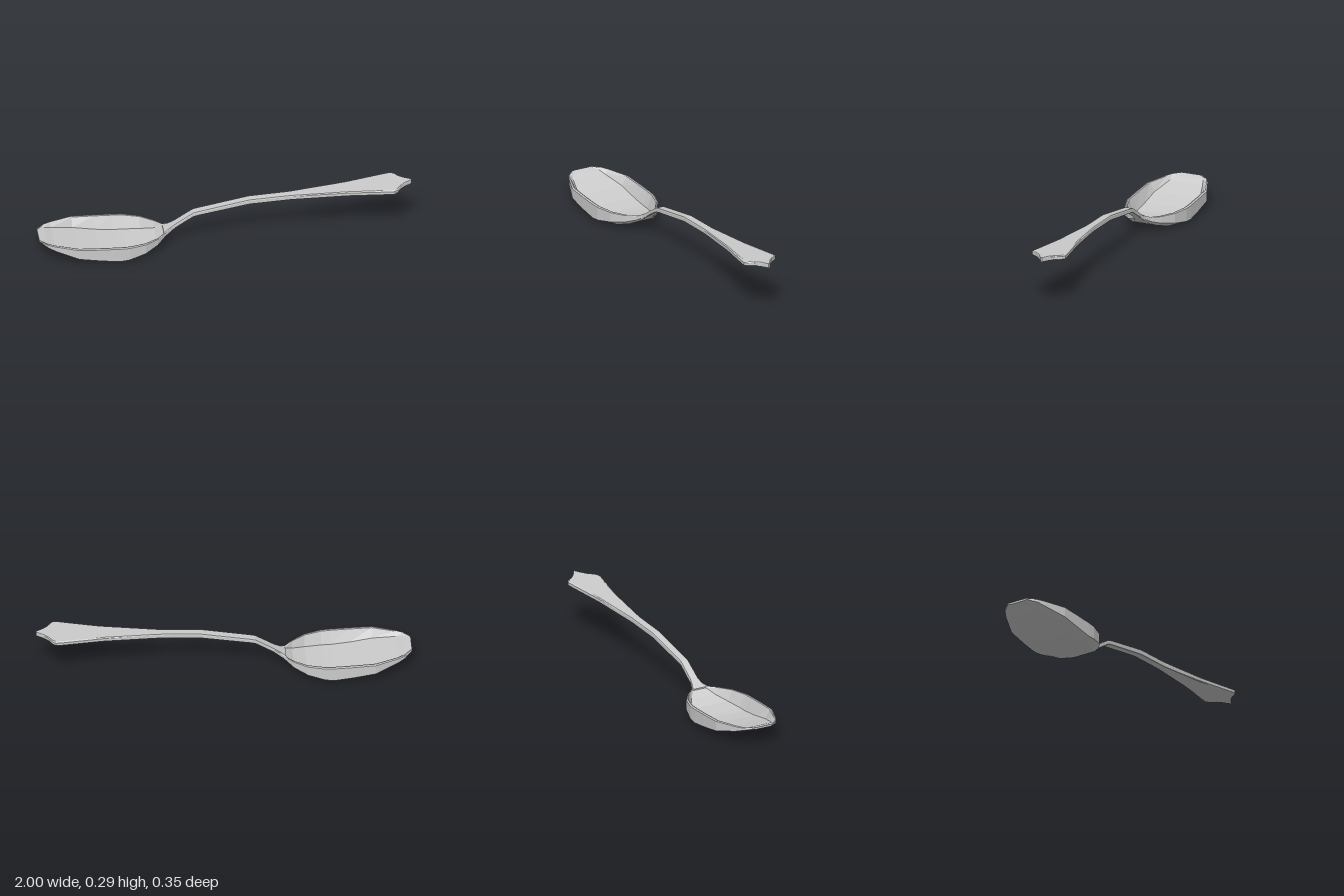
import * as THREE from 'three';

// Skin closed rings of [x, y, z] points, with capped ends
function loft(name, rings, material) {
  const pos = [];
  const tri = (a, b, c) => pos.push(...a, ...b, ...c);
  const n = rings[0].length;
  for (let i = 0; i < rings.length - 1; i++) {
    for (let j = 0; j < n; j++) {
      const k = (j + 1) % n;
      const a = rings[i][j], b = rings[i][k], c = rings[i + 1][k], d = rings[i + 1][j];
      tri(a, d, c);
      tri(a, c, b);
    }
  }
  const first = rings[0], last = rings[rings.length - 1];
  for (let j = 1; j < n - 1; j++) {
    tri(first[0], first[j], first[j + 1]);
    tri(last[0], last[j + 1], last[j]);
  }
  const geometry = new THREE.BufferGeometry();
  geometry.setAttribute('position', new THREE.Float32BufferAttribute(pos, 3));
  geometry.computeVertexNormals();
  const mesh = new THREE.Mesh(geometry, material);
  mesh.name = name;
  return mesh;
}

// Mirror a half section, given from the top centre side outwards and down
function mirrorRing(x, half) {
  const left = half.map(([z, y]) => [x, y, z]);
  const right = half.map(([z, y]) => [x, y, -z]).reverse();
  return [...left, ...right];
}

export function createModel() {
  const group = new THREE.Group();
  group.name = 'spoon';
  const metal = new THREE.MeshStandardMaterial({ color: 0xcccccc, flatShading: true });

  // Bowl stations: x, half width, rim height, wall foot, underside, inner floor
  const bowl = [
    [-1.0, 0.06, 0.11, 0.102, 0.098, 0.109],
    [-0.96, 0.105, 0.109, 0.09, 0.084, 0.1],
    [-0.92, 0.126, 0.108, 0.076, 0.069, 0.085],
    [-0.8, 0.173, 0.105, 0.046, 0.036, 0.054],
    [-0.68, 0.176, 0.101, 0.028, 0.014, 0.032],
    [-0.58, 0.176, 0.098, 0.016, 0.002, 0.022],
    [-0.53, 0.173, 0.097, 0.02, 0.004, 0.023],
    [-0.44, 0.146, 0.095, 0.036, 0.013, 0.032],
    [-0.37, 0.096, 0.093, 0.052, 0.036, 0.055],
    [-0.33, 0.052, 0.093, 0.068, 0.058, 0.085],
    [-0.3, 0.031, 0.108, 0.088, 0.08, 0.107],
  ];
  // Half section runs from the underside, up the wall, over the lip and inside
  group.add(loft('bowl', bowl.map(([x, w, rim, foot, under, floor]) => mirrorRing(x, [
    [w * 0.72, under],
    [w, foot],
    [w, rim - 0.004],
    [w * 0.95, rim],
    [w * 0.91, rim - 0.002],
    [w * 0.76, floor],
  ])), metal));

  // Handle stations: x, half width, top, underside
  const handle = [
    [-0.33, 0.045, 0.092, 0.062],
    [-0.3, 0.031, 0.109, 0.08],
    [-0.27, 0.024, 0.127, 0.103],
    [-0.17, 0.023, 0.191, 0.168],
    [-0.14, 0.023, 0.198, 0.175],
    [0.13, 0.023, 0.249, 0.223],
    [0.35, 0.024, 0.26, 0.234],
    [0.65, 0.055, 0.277, 0.251],
    [0.88, 0.095, 0.291, 0.266],
    [0.9, 0.096, 0.292, 0.267],
    [0.915, 0.085, 0.293, 0.268],
    [0.935, 0.055, 0.294, 0.27],
    [0.96, 0.03, 0.296, 0.271],
    [1.0, 0.004, 0.297, 0.273],
  ];
  // Chamfered flat bar
  group.add(loft('handle', handle.map(([x, w, top, under]) => mirrorRing(x, [
    [w * 0.9, under],
    [w, under + 0.004],
    [w, top - 0.005],
    [w * 0.9, top],
  ])), metal));

  return group;
}
